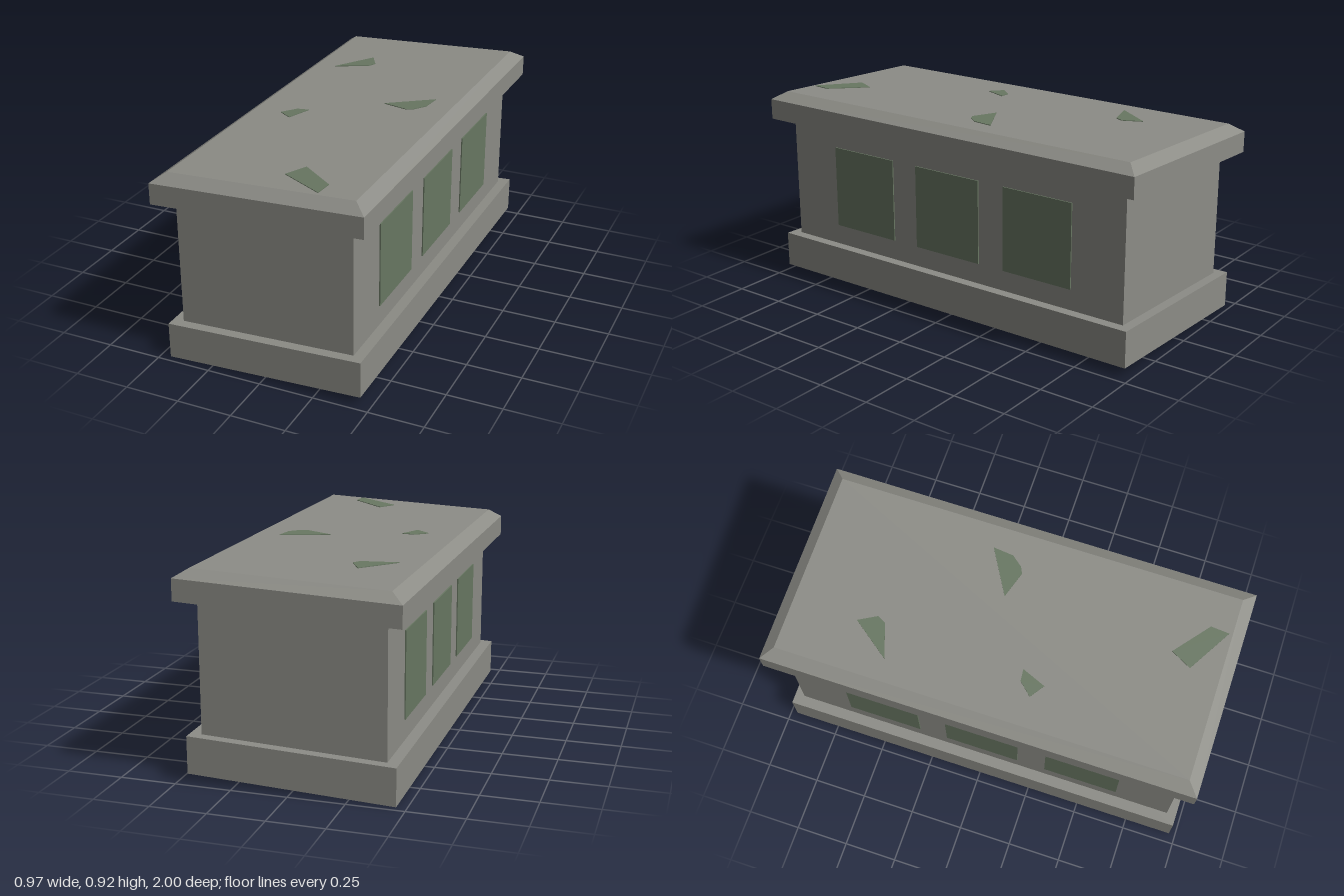
import * as THREE from 'three';

const SLOPE = 0.0437; // the whole block has settled to one side

export function createModel() {
  const stone = new THREE.MeshStandardMaterial({ color: 0x8c8c86, flatShading: true });
  stone.name = 'weathered stone';
  const moss = new THREE.MeshStandardMaterial({ color: 0x687762, flatShading: true });
  moss.name = 'mossy green';

  const model = new THREE.Group();
  model.name = 'stoneTomb';
  const shear = new THREE.Matrix4().set(1, 0, 0, 0, SLOPE, 1, 0, 0, 0, 0, 1, 0, 0, 0, 0, 1);

  // Leans a geometry with the rest of the tomb and adds it
  function add(name, geometry, material) {
    const g = geometry.index ? geometry.toNonIndexed() : geometry;
    g.applyMatrix4(shear);
    g.computeVertexNormals();
    const mesh = new THREE.Mesh(g, material);
    mesh.name = name;
    model.add(mesh);
  }
  const block = (w, y0, y1, d, rows = 1) =>
    new THREE.BoxGeometry(w, y1 - y0, d, 1, rows, 1).translate(0, (y0 + y1) / 2, 0);

  // Plinth and chest
  add('plinth', block(0.91, 0.02, 0.187, 1.94), stone);
  add('chest', block(0.81, 0.187, 0.771, 1.85), stone);

  // Lid slab: the upper ring is pulled in to form the bevel
  const bottom = 0.771, edge = 0.867, top = 0.905;
  const lid = block(0.966, bottom, top, 2, 2);
  const p = lid.attributes.position;
  for (let i = 0; i < p.count; i++) {
    const y = p.getY(i);
    if (y > top - 0.01) {
      p.setX(i, Math.sign(p.getX(i)) * 0.426);
      p.setZ(i, Math.sign(p.getZ(i)) * 0.946);
    } else if (y > bottom + 0.01) p.setY(i, edge);
  }
  add('lid', lid, stone);

  // Three thin panels along each long side
  for (const side of [-1, 1]) {
    for (const z of [-0.488, 0, 0.488]) {
      const panel = block(0.008, 0.283, 0.672, 0.353).translate(side * 0.4065, 0, z);
      add(side > 0 ? 'leftPanel' : 'rightPanel', panel, moss);
    }
  }

  // Moss patches on the lid, outlined as [x, z]
  const patches = [
    [[-0.325, -0.466], [-0.194, -0.643], [-0.148, -0.56], [-0.167, -0.521]],
    [[0.115, -0.06], [0.32, -0.18], [0.31, -0.085], [0.27, -0.035], [0.24, -0.02]],
    [[-0.29, 0.19], [-0.235, 0.13], [-0.18, 0.125], [-0.225, 0.235]],
    [[0.05, 0.81], [0.1, 0.715], [0.262, 0.845], [0.255, 0.93]],
  ];
  for (const outline of patches) {
    const shape = new THREE.Shape(outline.map(([x, z]) => new THREE.Vector2(x, -z)));
    const patch = new THREE.ExtrudeGeometry(shape, { depth: 0.004, bevelEnabled: false });
    add('mossPatch', patch.rotateX(-Math.PI / 2).translate(0, top - 0.001, 0), moss);
  }
  return model;
}
